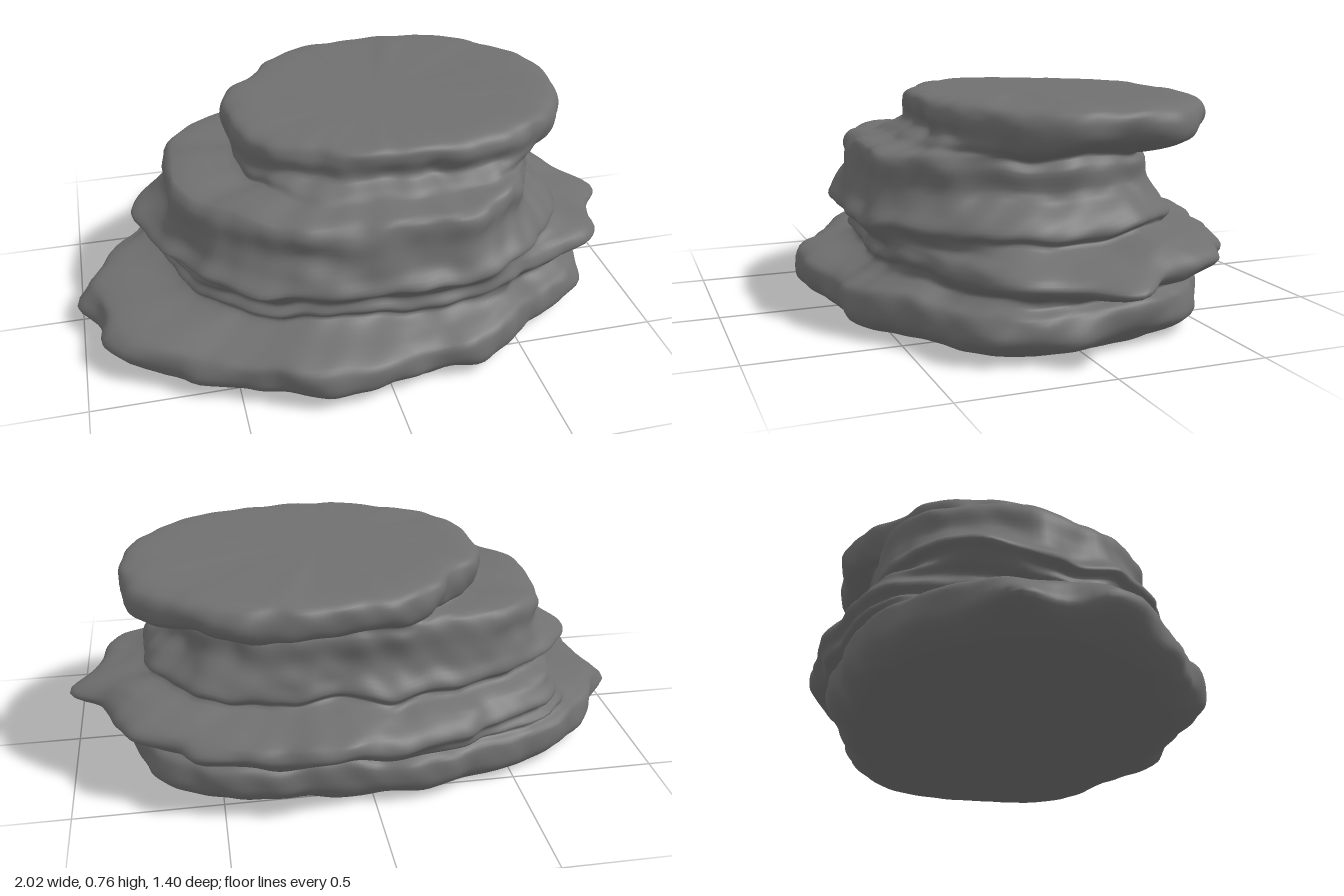
import * as THREE from 'three';

// Outline radii of each rock layer at 16 even angles, from +x round through +z
const base = [.72, .77, .70, .70, .71, .79, .87, 1.03, 1.03, .90, .68, .58, .54, .56, .65, .71];
const crease = [.71, .70, .62, .60, .59, .64, .71, .79, .83, .85, .68, .60, .56, .59, .67, .71];
const ledge = [.82, .79, .66, .60, .56, .61, .69, .77, .80, .83, .70, .65, .64, .66, .73, .79];
const ledgeTop = [.73, .68, .62, .60, .57, .62, .70, .77, .81, .80, .65, .58, .54, .56, .64, .72];
const middle = [.65, .66, .66, .65, .62, .68, .76, .79, .86, .77, .58, .50, .44, .48, .54, .62];
const upper = [.54, .55, .60, .60, .58, .61, .68, .74, .77, .70, .55, .46, .39, .42, .48, .54];
const neck = [.57, .55, .53, .49, .46, .49, .53, .52, .50, .48, .47, .46, .45, .48, .53, .58];
const slab = [.69, .61, .50, .42, .40, .41, .43, .50, .54, .53, .52, .53, .55, .60, .66, .71];
const lip = neck.map((r, i) => (r + slab[i]) / 2);

// Side profile from bottom to top: height, outline, scale
const levels = [
  [0, base, 0], [0, base, .5], [0, base, .84], [.02, base, .93], [.06, base, .99], [.1, base, 1],
  [.145, base, .985], [.168, base, .93], [.192, crease, 1], [.22, ledge, .965], [.25, ledge, 1],
  [.285, ledge, .975], [.312, ledgeTop, 1], [.342, middle, .965], [.37, middle, 1], [.42, middle, .95],
  [.48, upper, 1], [.55, upper, 1], [.587, upper, .96], [.603, neck, 1], [.622, lip, 1],
  [.65, slab, .98], [.7, slab, 1], [.735, slab, .98], [.752, slab, .91], [.757, slab, .6], [.757, slab, 0],
];

// Jutting points and notches: angle in degrees, height, reach, angular width
const crags = [
  [-1, .25, .085, 7], [-31, .26, .04, 8], [17, .26, .03, 8], [177, .07, .065, 6], [160, .1, .05, 7],
  [168, .11, -.03, 4], [186, .36, .045, 8], [180, .15, .02, 5], [25, .08, .03, 6], [-60, .68, .03, 6],
];

const COLUMNS = 192, STEPS = 4;

// Smooth closed interpolation between the outline radii
function radiusAt(outline, u) {
  const n = outline.length, i = Math.floor(u * n), t = u * n - i;
  const [a, b, c, d] = [-1, 0, 1, 2].map((k) => outline[(i + k + n) % n]);
  return b + 0.5 * t * (c - a + t * (2 * a - 5 * b + 4 * c - d + t * (3 * (b - c) + d - a)));
}

function cragAt(u, y) {
  return crags.reduce((sum, [angle, height, reach, width]) => {
    const turn = (u * 360 - angle + 540) % 360 - 180;
    return sum + reach * Math.exp(-((turn / width) ** 2) - ((y - height) / 0.045) ** 2);
  }, 0);
}

// Layered sines for weathered bumps
function bumps(x, y, z) {
  return 0.45 * Math.sin(8 * x + 9 * y + 3 * Math.sin(5 * z + 6 * y))
    + 0.4 * Math.sin(15 * z - 13 * y + 2 * Math.sin(11 * x + 1.3))
    + 0.3 * Math.sin(24 * x + 18 * y + 2.1) * Math.sin(22 * z - 12 * y)
    + 0.2 * Math.sin(43 * x - 15 * y) * Math.sin(39 * z + 21 * y + 0.7);
}

function rockGeometry() {
  const rows = (levels.length - 1) * STEPS;
  const positions = [], indices = [];
  for (let c = 0; c < COLUMNS; c++) {
    const u = c / COLUMNS, cos = Math.cos(u * Math.PI * 2), sin = Math.sin(u * Math.PI * 2);
    const profile = new THREE.CatmullRomCurve3(
      levels.map(([y, outline, s]) => new THREE.Vector3(radiusAt(outline, u) * s, y, 0)));
    for (let r = 0; r <= rows; r++) {
      const p = profile.getPoint(r / rows);
      // Bumps fade out towards the flat bottom and the middle of the top
      const fade = THREE.MathUtils.smoothstep(p.x, 0.1, 0.4);
      const radius = p.x + fade * (0.02 * bumps(p.x * cos, p.y, p.x * sin) + cragAt(u, p.y));
      // Layers dip and rise together around the rock
      const lift = THREE.MathUtils.smoothstep(p.y, 0.03, 0.15)
        * (1 - 0.75 * THREE.MathUtils.smoothstep(p.y, 0.62, 0.74));
      const y = p.y + 0.016 * lift * fade * bumps(cos * 0.5 + 2, p.y * 0.4, sin * 0.5);
      positions.push(0.1 + radius * cos, Math.max(0, y), -0.05 + radius * sin);
      if (r < rows) {
        const a = c * (rows + 1) + r, b = ((c + 1) % COLUMNS) * (rows + 1) + r;
        indices.push(a, a + 1, b, b, a + 1, b + 1);
      }
    }
  }
  const geometry = new THREE.BufferGeometry();
  geometry.setAttribute('position', new THREE.Float32BufferAttribute(positions, 3));
  geometry.setIndex(indices);
  geometry.computeVertexNormals();
  return geometry;
}

export function createModel() {
  const group = new THREE.Group();
  group.name = 'layeredRock';
  const rock = new THREE.Mesh(rockGeometry(), new THREE.MeshStandardMaterial({ color: 0x707070 }));
  rock.name = 'rock';
  group.add(rock);
  return group;
}
